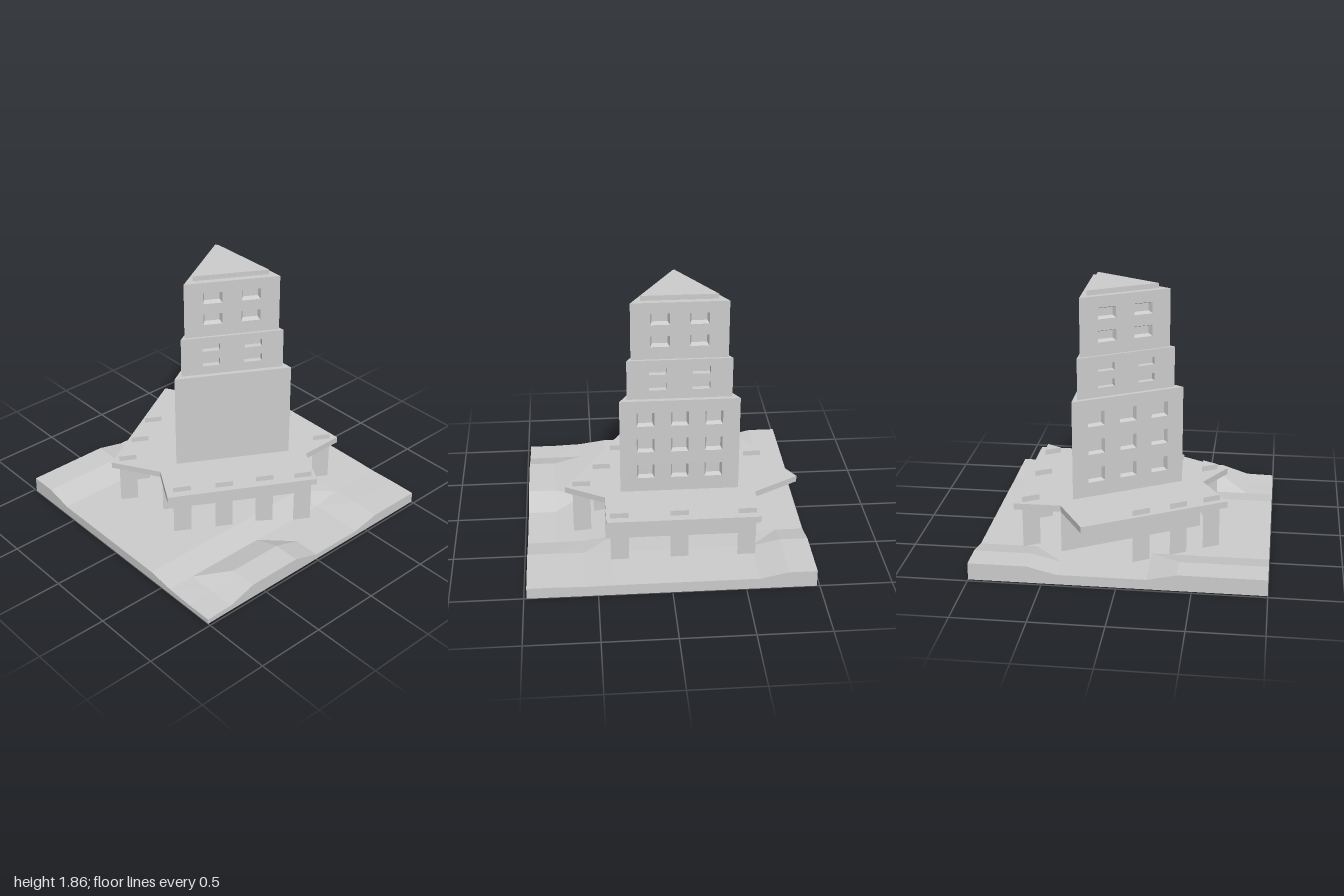
import * as THREE from 'three';

const CX = -0.098, CZ = -0.118; // tower axis

export function createModel() {
  const root = new THREE.Group();
  const mat = new THREE.MeshStandardMaterial({ color: 0xcccccc, flatShading: true });
  const add = (name, geo, parent = root) => {
    const mesh = new THREE.Mesh(geo, mat);
    mesh.name = name;
    parent.add(mesh);
    return mesh;
  };

  // Upright triangular prism with one corner towards +z
  const prism = (name, radius, y0, y1, x = CX, z = CZ) =>
    add(name, new THREE.CylinderGeometry(radius, radius, y1 - y0, 3)).position.set(x, (y0 + y1) / 2, z);

  // Terrain: block whose top grid follows left, middle and right profiles, back to front
  const left = [0.12, 0.12, 0.12, 0.07, 0.07, 0.07, 0.07, 0.115, 0.115, 0.115, 0.115];
  const right = [0.08, 0.08, 0.08, 0.04, 0.04, 0.04, 0.105, 0.105, 0.105, 0.04, 0.035];
  const ground = new THREE.BoxGeometry(1.96, 1, 2, 10, 1, 10);
  const p = ground.attributes.position;
  for (let i = 0; i < p.count; i++) {
    const col = Math.round((p.getX(i) + 0.98) / 0.196);
    const row = Math.round((p.getZ(i) + 1) / 0.2);
    let h = row < 3 ? 0.078 : 0.07;
    if (col < 2) h = left[row];
    else if (col === 8) h = row < 3 ? 0.075 : 0.042;
    else if (col > 8) h = right[row];
    p.setY(i, p.getY(i) > 0 ? h : 0);
  }
  ground.computeVertexNormals();
  add('terrain', ground);

  // Ground-floor body below the terrace
  prism('groundFloor', 0.612, 0.02, 0.38);

  // Terrace slab: triangle with a wing on each side
  const outline = [
    [-0.625, -0.75], [0.43, -0.75], [0.43, -0.425], [0.705, -0.265], [0.175, 0.67],
    [-0.098, 0.51], [-0.42, 0.70], [-0.95, -0.235], [-0.625, -0.425],
  ];
  const slab = new THREE.ExtrudeGeometry(
    new THREE.Shape(outline.map(([x, z]) => new THREE.Vector2(x, -z))),
    { depth: 0.045, bevelEnabled: false });
  slab.rotateX(-Math.PI / 2);
  add('terrace', slab).position.y = 0.367;

  // Triangular columns piercing the terrace
  const columns = [
    [-0.535, -0.66], [-0.07, -0.655], [0.34, -0.66],
    [0.59, -0.224], [0.44, 0.007], [0.305, 0.271], [0.152, 0.526],
    [-0.67, 0.118], [-0.53, 0.357], [-0.398, 0.574],
  ];
  for (const [x, z] of columns) prism('column', 0.0725, 0.035, 0.45, x, z);

  // Open-fronted window recess narrowing inwards
  const recess = (w, h, depth, taper) => {
    const box = new THREE.BoxGeometry(w, h, depth).translate(0, 0, -depth / 2);
    const q = box.attributes.position;
    for (let i = 0; i < q.count; i++) {
      if (q.getZ(i) < -depth / 2) {
        q.setX(i, Math.sign(q.getX(i)) * (w / 2 - taper));
        q.setY(i, Math.sign(q.getY(i)) * (h / 2 - taper));
      }
    }
    const inner = [...box.index.array].filter((_, i) => i < 24 || i >= 30).reverse();
    box.setIndex(inner);
    box.computeVertexNormals();
    return box;
  };

  // Tower storeys: each wall is a panel with window holes
  const tiers = [
    { name: 'lowerTier', r: 0.479, y0: 0.40, y1: 1.12, us: [-0.285, 0, 0.285], vs: [0.57, 0.775, 0.977],
      w: 0.122, h: 0.105, taper: 0.012, blankRight: true },
    { name: 'middleTier', r: 0.417, y0: 1.12, y1: 1.41, us: [-0.205, 0.205], vs: [1.212, 1.328],
      w: 0.122, h: 0.054, taper: 0.002 },
    { name: 'upperTier', r: 0.383, y0: 1.41, y1: 1.82, us: [-0.2, 0.2], vs: [1.54, 1.70],
      w: 0.132, h: 0.08, taper: 0.013 },
  ];
  for (const t of tiers) {
    const tier = new THREE.Group();
    tier.name = t.name;
    tier.position.set(CX, 0, CZ);
    root.add(tier);
    const side = t.r * Math.sqrt(3);
    for (const [face, angle] of [['right', Math.PI / 3], ['left', -Math.PI / 3], ['back', Math.PI]]) {
      const wall = new THREE.Group();
      wall.name = face + 'Wall';
      wall.rotation.y = angle;
      tier.add(wall);
      const rect = (Type, u0, u1, v0, v1) => new Type(
        [[u0, v0], [u1, v0], [u1, v1], [u0, v1]].map(([u, v]) => new THREE.Vector2(u, v)));
      const panel = rect(THREE.Shape, -side / 2, side / 2, t.y0, t.y1);
      if (!(t.blankRight && face === 'right')) {
        for (const f of t.us) for (const v of t.vs) {
          const u = f * side;
          panel.holes.push(rect(THREE.Path, u - t.w / 2, u + t.w / 2, v - t.h / 2, v + t.h / 2));
          add('windowRecess', recess(t.w, t.h, 0.035, t.taper), wall).position.set(u, v, t.r / 2);
        }
      }
      add('wallPanel', new THREE.ShapeGeometry(panel), wall).position.z = t.r / 2;
    }
    const top = new THREE.CircleGeometry(t.r, 3, -Math.PI / 2).rotateX(-Math.PI / 2);
    add('tierTop', top, tier).position.y = t.y1;
  }

  // Raised roof slab
  prism('roofSlab', 0.3025, 1.815, 1.855);

  return root;
}
